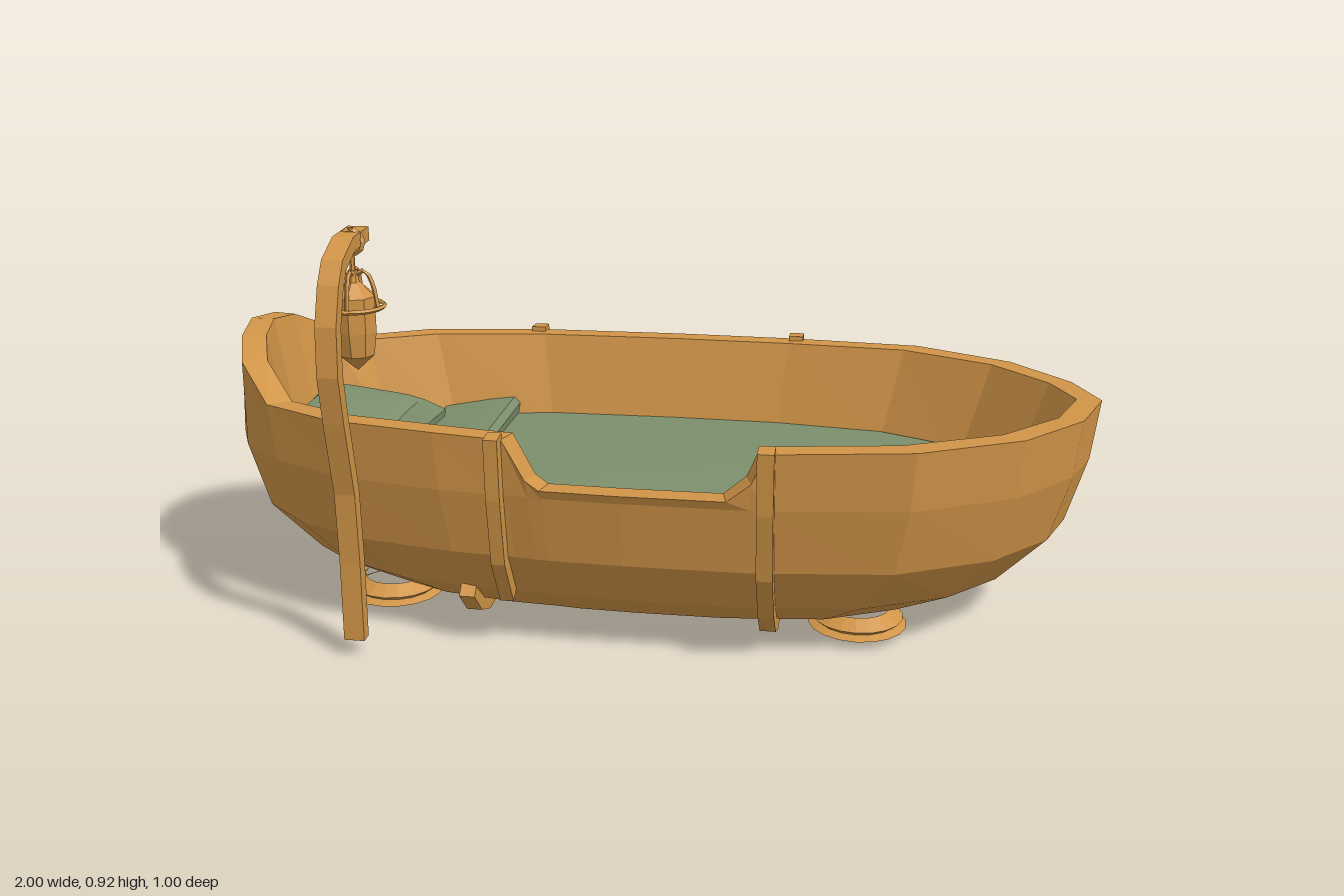
import * as THREE from 'three';

const wood = new THREE.MeshStandardMaterial({ color: 0xd09447, flatShading: true });
wood.name = 'wood';
const cloth = new THREE.MeshStandardMaterial({ color: 0x7c8f6d, flatShading: true });
cloth.name = 'greenCloth';

const CX = 0.015, CZ = -0.035; // centre of the hull plan

// rim of the hull: [x, z, height], from the head along the back, foot and front
const RIM = [
  [-0.985, -0.03, 0.625], [-0.965, -0.13, 0.615], [-0.92, -0.22, 0.575], [-0.81, -0.32, 0.51],
  [-0.64, -0.41, 0.51], [-0.36, -0.475, 0.505], [0, -0.485, 0.505], [0.3, -0.48, 0.505],
  [0.6, -0.44, 0.51], [0.82, -0.33, 0.51], [0.95, -0.18, 0.51], [1, -0.03, 0.515],
  [0.95, 0.11, 0.51], [0.82, 0.26, 0.51], [0.6, 0.375, 0.51], [0.3, 0.415, 0.505],
  [0.27, 0.417, 0.44], [0.22, 0.418, 0.4], [0, 0.42, 0.4], [-0.17, 0.415, 0.4],
  [-0.2, 0.412, 0.42], [-0.25, 0.405, 0.505], [-0.4, 0.395, 0.51], [-0.64, 0.35, 0.51],
  [-0.81, 0.265, 0.51], [-0.92, 0.165, 0.575], [-0.965, 0.07, 0.61],
];
// outer levels of the hull, bottom up: [height, scale along x, scale along z]
const LEVELS = [[0.04, 0.52, 0.5], [0.065, 0.69, 0.64], [0.12, 0.83, 0.77], [0.23, 0.94, 0.92], [0.38, 0.985, 0.98]];

// one level of the hull plan; without a height it follows the rim and leans in at the head
function ring(sx, sz, y) {
  return RIM.map(([x, z, h]) => {
    const lean = y === undefined ? Math.max(0, h - 0.51) * 0.26 : 0;
    return new THREE.Vector3(CX + (x - CX) * sx + lean, y ?? h, CZ + (z - CZ) * sz);
  });
}

// skin through stacked rings, closed by a fan at each end
function loft(rings, crown = 0) {
  const n = rings[0].length, last = rings.length - 1, pos = [];
  const tri = (...pts) => pts.forEach((p) => pos.push(p.x, p.y, p.z));
  const middle = (r) => r.reduce((s, p) => s.add(p), new THREE.Vector3()).divideScalar(n);
  const low = middle(rings[0]), high = middle(rings[last]);
  high.y += crown;
  for (let j = 0; j < n; j++) {
    const k = (j + 1) % n;
    for (let i = 0; i < last; i++) {
      const a = rings[i], b = rings[i + 1];
      tri(a[j], b[j], b[k]);
      tri(a[j], b[k], a[k]);
    }
    tri(low, rings[0][j], rings[0][k]);
    tri(high, rings[last][k], rings[last][j]);
  }
  const g = new THREE.BufferGeometry();
  g.setAttribute('position', new THREE.Float32BufferAttribute(pos, 3));
  g.computeVertexNormals();
  return g;
}

// flat strip of given thickness along [z, y] points, extruded across x
function strip(path, thick, width, x) {
  const pts = path.map(([z, y]) => new THREE.Vector2(-z, y));
  const left = [], right = [];
  pts.forEach((p, i) => {
    const t = pts[Math.min(i + 1, pts.length - 1)].clone().sub(pts[Math.max(i - 1, 0)]).normalize();
    const off = new THREE.Vector2(-t.y, t.x).multiplyScalar(thick / 2);
    left.push(p.clone().add(off));
    right.unshift(p.clone().sub(off));
  });
  const g = new THREE.ExtrudeGeometry(new THREE.Shape([...left, ...right]), { depth: width, bevelEnabled: false });
  g.rotateY(Math.PI / 2);
  g.translate(x - width / 2, 0, 0);
  return g;
}

export function createModel() {
  const model = new THREE.Group();
  const add = (name, geometry, material = wood, parent = model) => {
    const m = new THREE.Mesh(geometry, material);
    m.name = name;
    parent.add(m);
    return m;
  };

  // hollow hull with raised head and side notch
  add('hull', loft([
    ...LEVELS.map(([y, sx, sz]) => ring(sx, sz, y)),
    ring(1, 1), ring(0.945, 0.89), ring(0.86, 0.78, 0.27),
  ]));

  // mattress ends under the pillow
  const cut = (r) => r.map((p) => p.setX(Math.max(p.x, -0.62)));
  add('mattress', loft([cut(ring(0.86, 0.78, 0.275)), cut(ring(0.865, 0.79, 0.31))], 0.012), cloth);

  // folded end of the blanket
  const fold = new THREE.Shape([[-0.59, 0.3], [-0.4, 0.3], [-0.395, 0.335], [-0.41, 0.35],
    [-0.47, 0.345], [-0.58, 0.33]].map((p) => new THREE.Vector2(...p)));
  const foldGeo = new THREE.ExtrudeGeometry(fold, { depth: 0.71, bevelEnabled: false });
  foldGeo.translate(0, 0, -0.39);
  add('blanketFold', foldGeo, cloth);

  // pillow: a box thinned and drawn in towards its edges, narrower at the head
  const pillowGeo = new THREE.BoxGeometry(2, 2, 2, 8, 2, 8);
  const p = pillowGeo.attributes.position;
  for (let i = 0; i < p.count; i++) {
    const u = p.getX(i), v = p.getZ(i);
    const puff = 0.01 + 0.055 * Math.sqrt((1 - u ** 4) * (1 - v ** 4));
    const taper = 0.92 + 0.08 * u;
    p.setXYZ(i, u * 0.155 * (0.93 + 0.07 * v * v), p.getY(i) * puff, v * 0.212 * taper * (0.92 + 0.08 * u * u));
  }
  const pillow = add('pillow', pillowGeo, cloth);
  pillow.position.set(-0.7, 0.375, 0);
  pillow.rotation.z = -0.15;

  // bands around the hull
  const half = (side, hw) => [...LEVELS.map(([y, , s]) => [CZ + side * hw * s, y]), [CZ + side * hw, 0.515]];
  const back = (hw) => half(-1, hw).reverse();
  add('footBand', strip([...back(0.445), ...half(1, 0.452)], 0.045, 0.035, 0.3));
  add('headBand', strip([...back(0.44), ...half(1, 0.432).slice(0, 3)], 0.045, 0.035, -0.36));
  add('headBandFront', strip(half(1, 0.45).slice(2), 0.045, 0.03, -0.265));

  // round feet with dished soles
  const footGeo = new THREE.LatheGeometry([[0, 0.012], [0.065, 0], [0.11, 0.016], [0.09, 0.024],
    [0.102, 0.034], [0.07, 0.055]].map((q) => new THREE.Vector2(...q)), 18);
  for (const [x, y] of [[-0.58, 0.01], [0.49, 0]]) {
    for (const z of [0.13, -0.16]) add('foot', footGeo).position.set(x, z > 0 ? y + 0.005 : y, z);
  }

  // round knob on the head end
  const knob = new THREE.Group();
  knob.name = 'headKnob';
  knob.position.set(-0.96, 0.455, -0.14);
  knob.rotation.z = Math.PI / 2;
  model.add(knob);
  add('knobRim', new THREE.CylinderGeometry(0.04, 0.046, 0.04, 10), wood, knob).position.y = 0.01;
  add('knobCap', new THREE.CylinderGeometry(0.022, 0.026, 0.02, 8), wood, knob).position.y = 0.03;

  // small carved sprig on the back
  const carving = new THREE.Group();
  carving.name = 'carving';
  carving.position.set(-0.03, 0.32, -0.473);
  carving.rotation.x = -0.1;
  model.add(carving);
  add('carvedRing', new THREE.TorusGeometry(0.04, 0.007, 4, 12), wood, carving);
  add('carvedBud', new THREE.SphereGeometry(0.016, 6, 4), wood, carving);
  const stem = new THREE.QuadraticBezierCurve3(new THREE.Vector3(0, 0.035, 0),
    new THREE.Vector3(-0.01, 0.08, 0), new THREE.Vector3(-0.05, 0.1, 0));
  add('carvedStem', new THREE.TubeGeometry(stem, 5, 0.007, 4), wood, carving);

  // curved lamp post
  add('lampPost', strip([[0.42, 0.04], [0.418, 0.22], [0.426, 0.38], [0.465, 0.55], [0.483, 0.65],
    [0.476, 0.75], [0.448, 0.825], [0.42, 0.865], [0.355, 0.895], [0.26, 0.898]], 0.03, 0.045, -0.58));

  // hanging lantern
  const lantern = new THREE.Group();
  lantern.name = 'lantern';
  lantern.position.set(-0.58, 0, 0.31);
  model.add(lantern);
  add('lanternBody', new THREE.LatheGeometry([[0, 0.613], [0.038, 0.648], [0.045, 0.7], [0.045, 0.775],
    [0.014, 0.805], [0.01, 0.83], [0, 0.83]].map((q) => new THREE.Vector2(...q)), 8), wood, lantern);
  const hoop = add('lanternHoop', new THREE.TorusGeometry(0.063, 0.005, 4, 16), wood, lantern);
  hoop.rotation.x = Math.PI / 2;
  hoop.position.y = 0.753;
  add('lanternHook', new THREE.CylinderGeometry(0.006, 0.006, 0.1, 6), wood, lantern).position.y = 0.87;
  const hookRing = add('hookRing', new THREE.TorusGeometry(0.024, 0.007, 4, 10), wood, lantern);
  hookRing.position.y = 0.89;
  for (let i = 0; i < 4; i++) {
    const a = (i * Math.PI) / 2;
    const at = (r, y) => new THREE.Vector3(Math.cos(a) * r, y, Math.sin(a) * r);
    const wire = new THREE.CatmullRomCurve3([at(0.05, 0.753), at(0.042, 0.8), at(0.026, 0.83), at(0.008, 0.82)]);
    add('lanternWire', new THREE.TubeGeometry(wire, 6, 0.005, 4), wood, lantern);
    const spoke = new THREE.LineCurve3(at(0.04, 0.753), at(0.063, 0.753));
    add('hoopSpoke', new THREE.TubeGeometry(spoke, 1, 0.004, 4), wood, lantern);
  }
  return model;
}
